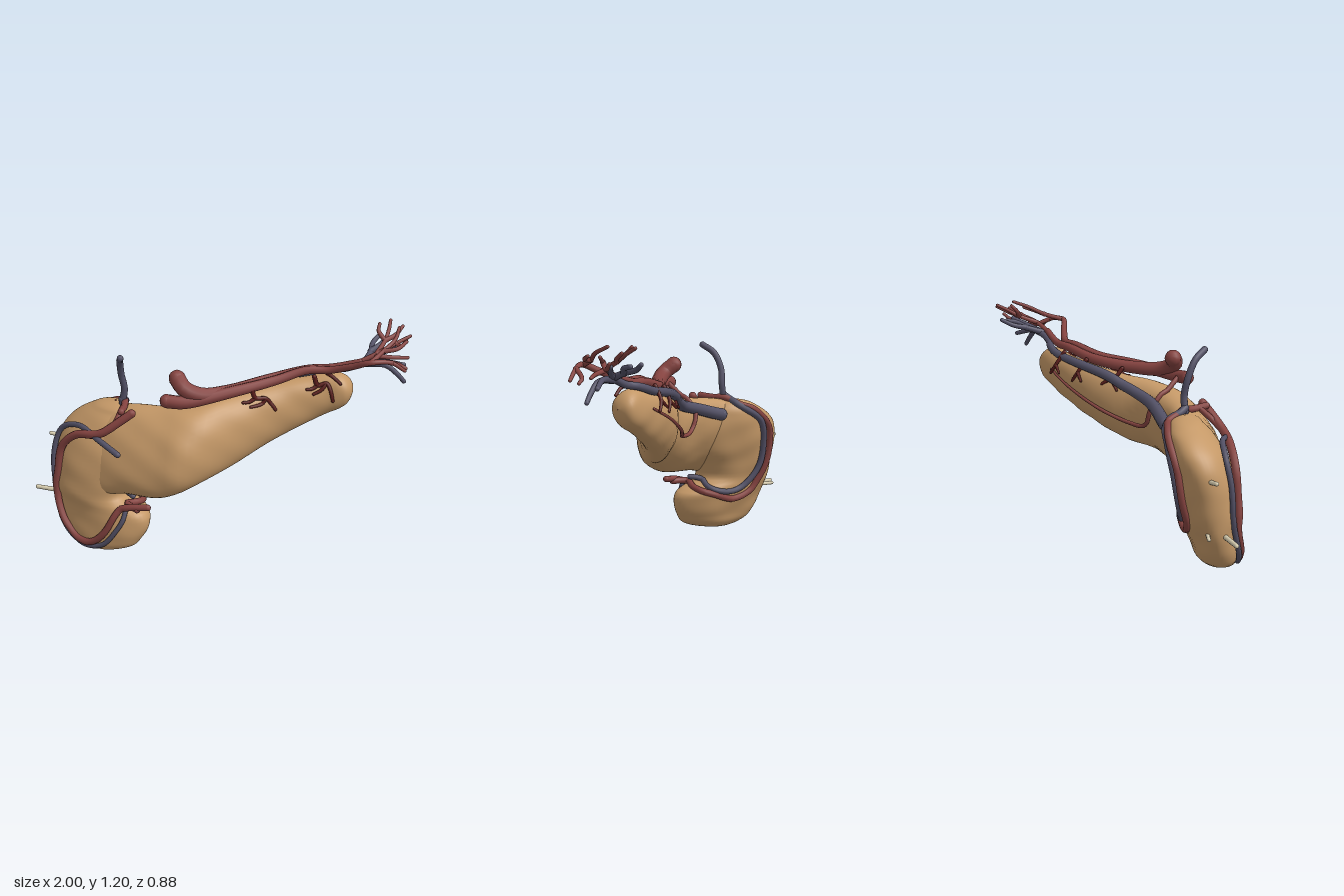
import * as THREE from 'three';
import { mergeGeometries } from 'three/addons/utils/BufferGeometryUtils.js';

const mat = (name, color) => {
  const m = new THREE.MeshStandardMaterial({ color });
  m.name = name;
  return m;
};
const V = (p) => new THREE.Vector3(...p);

// Gland body sections along x: x, top y, bottom y, back z, front z
const BODY = [
  [-0.75, 0.56, 0.54, 0.13, 0.15], [-0.7, 0.68, 0.36, 0.05, 0.25], [-0.6, 0.755, 0.32, 0.03, 0.33],
  [-0.4, 0.805, 0.365, 0.08, 0.4], [-0.2, 0.825, 0.375, 0.1, 0.432], [-0.1, 0.84, 0.41, 0.09, 0.43],
  [0, 0.86, 0.455, 0.06, 0.37], [0.14, 0.885, 0.505, -0.06, 0.22], [0.3, 0.915, 0.59, -0.15, 0.07],
  [0.5, 0.945, 0.69, -0.215, -0.05], [0.6, 0.965, 0.74, -0.24, -0.085], [0.66, 0.957, 0.77, -0.245, -0.092],
  [0.7, 0.925, 0.808, -0.232, -0.115], [0.715, 0.895, 0.845, -0.205, -0.145], [0.72, 0.872, 0.868, -0.176, -0.172],
];
// Gland head sections along y: y, right x, left x, back z, front z
const HEAD = [
  [0, -0.61, -0.59, 0.28, 0.29], [0.012, -0.69, -0.5, 0.21, 0.36], [0.04, -0.755, -0.39, 0.16, 0.39],
  [0.1, -0.81, -0.325, 0.125, 0.4], [0.19, -0.845, -0.285, 0.09, 0.395], [0.25, -0.858, -0.305, 0.065, 0.385],
  [0.31, -0.865, -0.43, 0.045, 0.37], [0.4, -0.87, -0.41, 0.02, 0.36], [0.5, -0.87, -0.35, -0.005, 0.35],
  [0.6, -0.85, -0.34, -0.025, 0.315], [0.69, -0.78, -0.37, -0.025, 0.26], [0.75, -0.68, -0.41, 0, 0.21],
  [0.785, -0.6, -0.46, 0.05, 0.17], [0.797, -0.53, -0.52, 0.1, 0.11],
];
const POWER = 2.1;

// Smooth section at a station: centre, half sizes and the slant of z across the section
function sampler(rows, slant) {
  const it = new THREE.CubicInterpolant(rows.map((r) => r[0]), rows.flatMap((r) => r.slice(1)), 4, new Float32Array(4));
  const from = rows[0][0], to = rows[rows.length - 1][0];
  const at = (t) => {
    const [a, b, c, d] = it.evaluate(Math.min(to, Math.max(from, t)));
    const hp = Math.max(0.001, Math.abs(a - b) / 2), half = Math.max(0.001, (d - c) / 2), k = slant(t);
    const hz = Math.sqrt(Math.max(half * half - (k * hp) ** 2, 0.4 * half * half));
    return { p: (a + b) / 2, hp, z: (c + d) / 2, hz, k };
  };
  return { from, to, at };
}
const body = sampler(BODY, (x) => -Math.min(0.38, Math.max(0, 0.25 - 0.35 * x)));
const head = sampler(HEAD, () => 0.25);

// Closed skin through the sections
function loft(s, place, rings, sides) {
  const pos = [], index = [];
  const f = (v) => Math.sign(v) * Math.abs(v) ** (2 / POWER);
  for (let i = 0; i <= rings; i++) {
    const t = s.from + (s.to - s.from) * (0.5 - 0.5 * Math.cos((Math.PI * i) / rings));
    const sec = s.at(t);
    for (let j = 0; j < sides; j++) {
      const a = (j / sides) * Math.PI * 2;
      const p = place(t, sec, f(Math.cos(a)), f(Math.sin(a)));
      // gentle lobes
      const n = 0.004 * Math.sin(p[0] * 21 + p[1] * 9) * Math.sin(p[1] * 24 - p[2] * 15 + 1);
      pos.push(p[0], p[1] + n * 0.4, p[2] + n);
      if (i < rings) {
        const k = (j + 1) % sides, A = i * sides + j, B = i * sides + k;
        index.push(A, B, B + sides, A, B + sides, A + sides);
      }
    }
  }
  const g = new THREE.BufferGeometry();
  g.setAttribute('position', new THREE.Float32BufferAttribute(pos, 3));
  g.setIndex(index);
  g.computeVertexNormals();
  return g;
}
const bodySkin = () => loft(body, (x, s, c, n) => [x, s.p + s.hp * c, s.z + s.hz * n + s.k * s.hp * c], 64, 40);
const headSkin = () => loft(head, (y, s, c, n) => [s.p + s.hp * n, y, s.z + s.hz * c + s.k * s.hp * n], 56, 48);

// Push a vessel point out of the gland so that the vessel rests on it
function lift(v, r) {
  const push = (s, axis) => {
    const u = v[axis] - s.p, w = v.z - s.z - s.k * u;
    const q = (Math.abs(u / s.hp) ** POWER + Math.abs(w / s.hz) ** POWER) ** (1 / POWER);
    const goal = 1 + (0.4 * r) / Math.min(s.hp, s.hz);
    const f = q < goal && q > 0.05 ? goal / q : 1;
    v[axis] = s.p + u * f;
    v.z = s.z + w * f + s.k * u * f;
  };
  for (let k = 0; k < 2; k++) {
    if (v.y > 0.012 && v.y < 0.78) push(head.at(v.y), 'x');
    if (v.x > -0.68 && v.x < 0.7) push(body.at(v.x), 'y');
  }
  return v;
}

// Tapered tube with rounded ends
function vessel(points, r0, r1, onSurface = false) {
  let curve = new THREE.CatmullRomCurve3(points.map(V));
  if (onSurface) curve = new THREE.CatmullRomCurve3(curve.getSpacedPoints(points.length * 3).map((p) => lift(p, r0)));
  const n = Math.max(6, points.length * 6), sides = 10;
  const tube = new THREE.TubeGeometry(curve, n, 1, sides);
  const pos = tube.attributes.position;
  const v = new THREE.Vector3();
  for (let i = 0; i <= n; i++) {
    const c = curve.getPointAt(i / n), r = r0 + (r1 - r0) * (i / n);
    for (let j = 0; j <= sides; j++) {
      const k = i * (sides + 1) + j;
      v.fromBufferAttribute(pos, k).sub(c).multiplyScalar(r).add(c);
      pos.setXYZ(k, v.x, v.y, v.z);
    }
  }
  const cap = (u, r) => new THREE.SphereGeometry(r, 10, 8).translate(...curve.getPointAt(u).toArray());
  return mergeGeometries([tube, cap(0, r0), cap(1, r1)]);
}

export function createModel() {
  const model = new THREE.Group();
  const tissue = mat('tan tissue', 0xc49867);
  const red = mat('artery red', 0x854340);
  const darkRed = mat('dark branch red', 0x5a1e1c);
  const blue = mat('vein blue', 0x535166);
  const cream = mat('duct cream', 0xd9cfb2);
  const add = (name, geometry, material) => {
    const m = new THREE.Mesh(geometry, material);
    m.name = name;
    model.add(m);
  };

  add('glandBody', bodySkin(), tissue);
  add('glandHead', headSkin(), tissue);

  // Main artery along the upper edge
  add('mainArtery', vessel([[-0.185, 0.905, 0.285], [-0.1, 0.9, 0.27], [0.14, 0.93, 0.13], [0.33, 0.955, -0.01],
    [0.48, 0.995, -0.09], [0.6, 1.0, -0.11], [0.73, 1.05, -0.07]], 0.037, 0.018), red);
  add('arteryTrunk', vessel([[-0.145, 1.01, 0.22], [-0.1, 0.97, 0.25], [-0.02, 0.93, 0.22], [0.1, 0.92, 0.12],
    [0.3, 0.945, -0.05], [0.48, 0.985, -0.13], [0.6, 0.995, -0.16], [0.75, 1.04, -0.165]], 0.045, 0.017), red);

  // Main vein on the upper back
  add('mainVein', vessel([[-0.38, 0.7, 0.09], [-0.13, 0.77, 0.1], [0.09, 0.85, 0.0], [0.35, 0.915, -0.14],
    [0.57, 0.955, -0.2], [0.7, 1.0, -0.18], [0.78, 1.03, -0.2]], 0.036, 0.018, true), blue);

  // Twigs at the tail end
  const arteryTwigs = [
    [[0.73, 1.05, -0.07], [0.82, 1.09, -0.04], [0.92, 1.08, -0.09], [0.99, 1.03, -0.12]],
    [[0.82, 1.09, -0.04], [0.87, 1.12, -0.14], [0.92, 1.16, -0.22], [0.93, 1.195, -0.31]],
    [[0.87, 1.12, -0.14], [0.94, 1.13, -0.17], [0.98, 1.15, -0.23]],
    [[0.92, 1.08, -0.09], [0.96, 1.04, -0.17], [0.99, 1.02, -0.18]],
    [[0.73, 1.03, -0.16], [0.83, 1.08, -0.2], [0.92, 1.12, -0.27], [0.99, 1.15, -0.32]],
    [[0.83, 1.08, -0.2], [0.86, 1.12, -0.3], [0.87, 1.16, -0.37], [0.87, 1.19, -0.43]],
    [[0.86, 1.12, -0.3], [0.91, 1.14, -0.35], [0.94, 1.17, -0.41]],
    [[0.86, 1.12, -0.3], [0.82, 1.16, -0.33], [0.82, 1.19, -0.36]],
    [[0.83, 1.07, -0.19], [0.92, 1.06, -0.22], [0.99, 1.05, -0.26]],
    [[0.92, 1.12, -0.27], [0.95, 1.09, -0.32], [0.97, 1.12, -0.36]],
  ];
  arteryTwigs.forEach((p, i) => add('arteryTwig', vessel(p, i ? 0.014 : 0.018, 0.009), red));
  const veinTwigs = [
    [[0.76, 1.02, -0.19], [0.88, 1.02, -0.2], [0.94, 0.975, -0.21], [0.98, 0.93, -0.22]],
    [[0.76, 1.02, -0.19], [0.87, 1.03, -0.22], [0.97, 1.0, -0.28]],
    [[0.77, 1.03, -0.19], [0.79, 1.06, -0.28], [0.79, 1.08, -0.36], [0.82, 1.11, -0.42]],
    [[0.79, 1.06, -0.28], [0.84, 1.09, -0.33], [0.85, 1.1, -0.38]],
    [[0.77, 1.03, -0.19], [0.86, 1.07, -0.26], [0.92, 1.1, -0.32]],
  ];
  veinTwigs.forEach((p) => add('veinTwig', vessel(p, 0.018, 0.012), blue));

  // Small forked branches on the front of the body
  for (const [x, y, z, s] of [[0.18, 0.9, 0.07, 1], [0.49, 0.935, -0.09, 0.85]]) {
    const path = (pts) => pts.map(([a, b]) => [x + a * s, y + b * s, z + 0.04 - a * 0.55]);
    add('frontBranch', vessel(path([[0.04, 0.04], [0.06, -0.02], [0.11, -0.03], [0.14, -0.07], [0.16, -0.1]]), 0.013, 0.009, true), darkRed);
    add('frontBranch', vessel(path([[0.06, -0.02], [0.03, -0.04], [0.0, -0.04]]), 0.011, 0.008, true), darkRed);
    add('frontBranch', vessel(path([[0.11, -0.03], [0.09, -0.06], [0.04, -0.08]]), 0.011, 0.008, true), darkRed);
  }
  add('frontBranch', vessel([[0.56, 0.99, -0.12], [0.62, 0.965, -0.1], [0.66, 0.93, -0.1]], 0.012, 0.008, true), darkRed);

  // Thin loop on the back of the body
  add('backLoop', vessel([[-0.14, 0.9, 0.25], [-0.16, 0.84, 0.18], [-0.17, 0.75, 0.08], [-0.12, 0.65, 0.07], [0, 0.64, 0.03],
    [0.15, 0.7, -0.09], [0.35, 0.79, -0.19], [0.52, 0.86, -0.23]], 0.014, 0.007, true), red);
  for (const x of [0.12, 0.3, 0.45]) {
    const z = body.at(x).z - 0.11, y = 0.87 + x * 0.15;
    add('backBranch', vessel([[x, y + 0.03, z + 0.05], [x + 0.01, y - 0.04, z], [x + 0.04, y - 0.09, z - 0.02]], 0.012, 0.008, true), darkRed);
    add('backBranch', vessel([[x + 0.01, y - 0.04, z], [x - 0.04, y - 0.08, z]], 0.01, 0.007, true), darkRed);
  }

  // Front arches around the head
  add('frontArchArtery', vessel([[-0.38, 0.81, 0.28], [-0.44, 0.765, 0.3], [-0.55, 0.69, 0.32], [-0.7, 0.65, 0.28],
    [-0.79, 0.56, 0.26], [-0.82, 0.4, 0.26], [-0.83, 0.25, 0.26], [-0.77, 0.12, 0.31], [-0.68, 0.055, 0.34],
    [-0.6, 0.06, 0.37], [-0.52, 0.14, 0.39], [-0.45, 0.27, 0.38], [-0.38, 0.305, 0.39], [-0.27, 0.32, 0.39]], 0.023, 0.018, true), red);
  add('frontArchSpur', vessel([[-0.55, 0.69, 0.32], [-0.48, 0.73, 0.3], [-0.45, 0.81, 0.22]], 0.019, 0.015, true), red);
  add('frontArchVein', vessel([[-0.42, 0.625, 0.41], [-0.55, 0.665, 0.34], [-0.7, 0.685, 0.23], [-0.81, 0.64, 0.19],
    [-0.86, 0.5, 0.2], [-0.855, 0.3, 0.22], [-0.79, 0.11, 0.29], [-0.68, 0.03, 0.34], [-0.55, 0.05, 0.38],
    [-0.46, 0.16, 0.39], [-0.4, 0.27, 0.38]], 0.016, 0.013, true), blue);

  // Back arches around the head
  add('backArchArtery', vessel([[-0.44, 0.81, 0.27], [-0.47, 0.79, 0.12], [-0.6, 0.72, -0.01], [-0.71, 0.6, -0.03],
    [-0.72, 0.4, 0.0], [-0.65, 0.24, 0.07], [-0.52, 0.2, 0.11], [-0.44, 0.27, 0.22], [-0.4, 0.3, 0.34], [-0.33, 0.3, 0.39]], 0.019, 0.019, true), red);
  add('backArchVein', vessel([[-0.48, 0.82, 0.13], [-0.52, 0.75, 0.03], [-0.63, 0.66, -0.03], [-0.67, 0.52, -0.02],
    [-0.66, 0.38, 0.01], [-0.58, 0.27, 0.07], [-0.49, 0.25, 0.13], [-0.42, 0.32, 0.25], [-0.38, 0.33, 0.3]], 0.02, 0.016, true), blue);
  add('risingVein', vessel([[-0.44, 1.105, 0.255], [-0.465, 1.06, 0.19], [-0.475, 0.97, 0.145], [-0.465, 0.88, 0.13],
    [-0.48, 0.8, 0.13]], 0.018, 0.019), blue);

  // Cut ducts at the right side
  add('lowerDuct', vessel([[-0.988, 0.24, 0.165], [-0.8, 0.24, 0.18]], 0.012, 0.014), cream);
  add('upperDuct', vessel([[-0.92, 0.545, 0.085], [-0.8, 0.53, 0.08]], 0.011, 0.012), cream);
  add('backDuct', vessel([[-0.88, 0.25, 0.07], [-0.78, 0.25, 0.11]], 0.01, 0.011), cream);
  return model;
}
